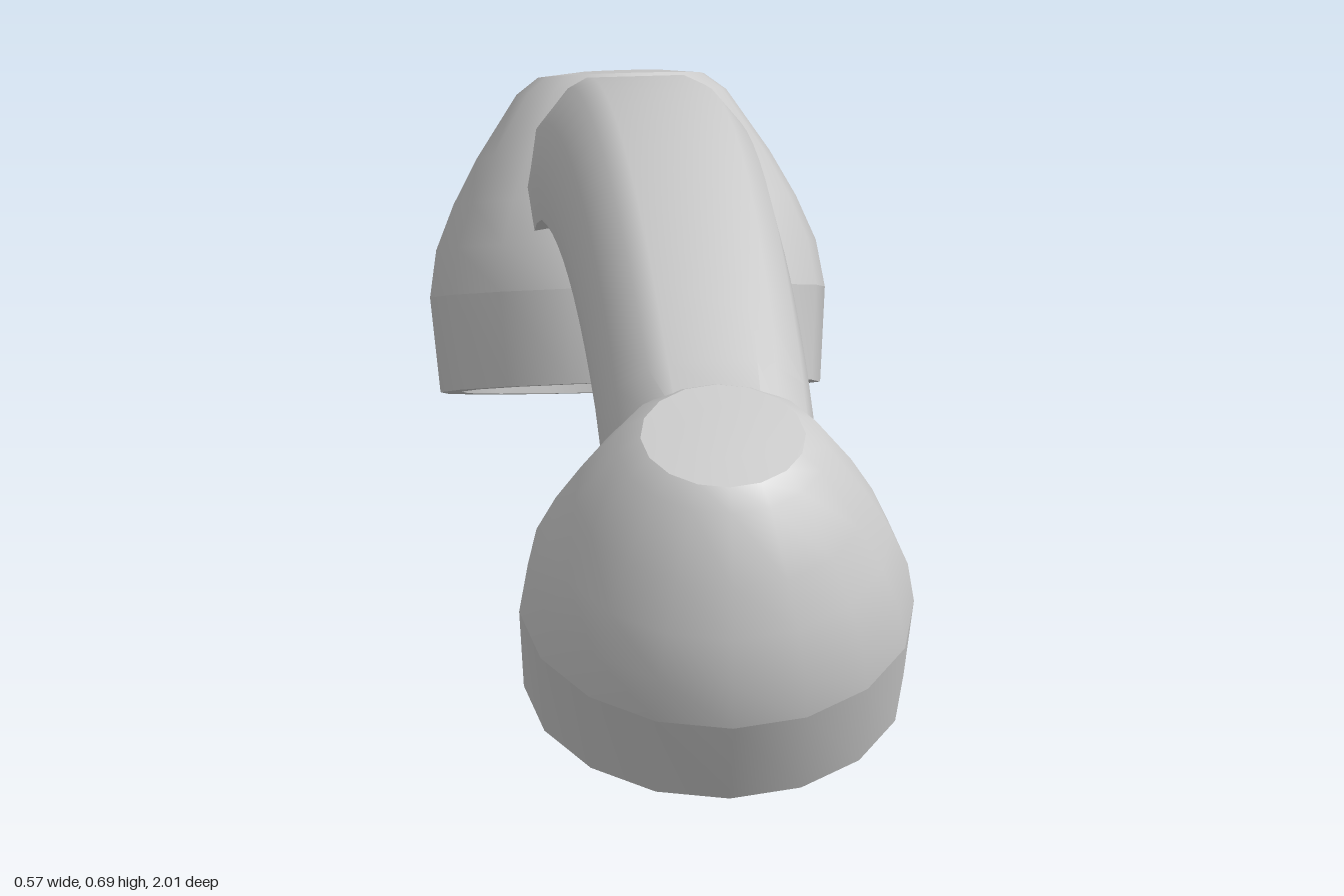
import * as THREE from 'three';
import { toCreasedNormals } from 'three/addons/utils/BufferGeometryUtils.js';

const SIDES = 16;
const TILT = THREE.MathUtils.degToRad(20);
const material = new THREE.MeshStandardMaterial({ color: 0xcccccc });

function part(name, geometry, crease = 0.5) {
  const mesh = new THREE.Mesh(toCreasedNormals(geometry, crease), material);
  mesh.name = name;
  return mesh;
}

function lathe(name, profile) {
  const points = profile.map(([r, y]) => new THREE.Vector2(r, y));
  return part(name, new THREE.LatheGeometry(points, SIDES));
}

// Round plate pierced by a centre hole and rings of 6, 12, 18... holes
function piercedPlate(name, radius, height, rings, spacing, holeRadius) {
  const shape = new THREE.Shape();
  shape.absarc(0, 0, radius, 0, Math.PI * 2, false);
  for (let ring = 0; ring <= rings; ring++) {
    const count = Math.max(1, ring * 6);
    for (let i = 0; i < count; i++) {
      const a = (i / count) * Math.PI * 2;
      const hole = new THREE.Path();
      hole.absarc(Math.cos(a) * ring * spacing, Math.sin(a) * ring * spacing, holeRadius, 0, Math.PI * 2, true);
      shape.holes.push(hole);
    }
  }
  const geometry = new THREE.ExtrudeGeometry(shape, { depth: 0.012, bevelEnabled: false, curveSegments: SIDES });
  geometry.rotateX(-Math.PI / 2);
  geometry.translate(0, height, 0);
  return part(name, geometry);
}

// One tilted cup: dome, rim ring and pierced plate
function cup(name, innerProfile, plate) {
  const group = new THREE.Group();
  group.name = name;
  group.add(
    lathe(name + 'Dome', [
      [0.286, 0.137], [0.275, 0.205], [0.248, 0.27], [0.212, 0.336],
      [0.152, 0.426], [0.12, 0.45], [0.06, 0.456], [0, 0.457],
    ]),
    lathe(name + 'Rim', [...innerProfile, [0.275, 0], [0.286, 0.137]]),
    plate,
  );
  group.position.set(0, 0.098, 0.675);
  group.rotation.x = TILT;
  return group;
}

// Arched grip: one cross-section swept along an arc, flaring down at the cups
function handleGeometry() {
  const R = 1.92, centreY = 0.692 - R, steps = 14;
  const half = [[0.15, 0.2], [0.155, 0.14], [0.136, 0.062], [0.1, 0.014], [0.07, 0]]; // x, depth below the top
  const section = [...half, ...half.map(([x, d]) => [-x, d]).reverse()];
  const n = section.length;
  const positions = [], index = [];
  for (let i = 0; i <= steps; i++) {
    const u = (i / steps) * 2 - 1;
    const flare = 1 + 0.15 * THREE.MathUtils.smoothstep(Math.abs(u), 0.78, 1);
    for (const [x, d] of section) {
      const angle = u * (0.407 - 0.26 * d);
      const r = R - d * flare;
      const taper = d < 0.05 ? 1 - 0.1 * u * u : 1;
      positions.push(x * taper, centreY + r * Math.cos(angle), r * Math.sin(angle));
    }
  }
  for (let i = 0; i < steps; i++) {
    for (let j = 0; j < n; j++) {
      const a = i * n + j, b = i * n + (j + 1) % n;
      index.push(a, b, a + n, b, b + n, a + n);
    }
  }
  const geometry = new THREE.BufferGeometry();
  geometry.setAttribute('position', new THREE.Float32BufferAttribute(positions, 3));
  geometry.setIndex(index);
  return geometry;
}

export function createModel() {
  const model = new THREE.Group();
  model.name = 'handset';
  model.add(part('handle', handleGeometry()));

  // Front cup: shallow dish with seven holes
  model.add(cup('mouthpiece',
    [[0.11, 0.055], [0.18, 0.04], [0.24, 0.016]],
    piercedPlate('mouthpiecePlate', 0.11, 0.055, 1, 0.065, 0.013)));

  // Rear cup: raised lip around a flat grille
  const rear = new THREE.Group();
  rear.name = 'rearEnd';
  rear.rotation.y = Math.PI;
  rear.add(cup('earpiece',
    [[0.205, 0.05], [0.232, 0.05], [0.245, 0]],
    piercedPlate('earpieceGrille', 0.205, 0.05, 3, 0.055, 0.014)));
  model.add(rear);
  return model;
}
